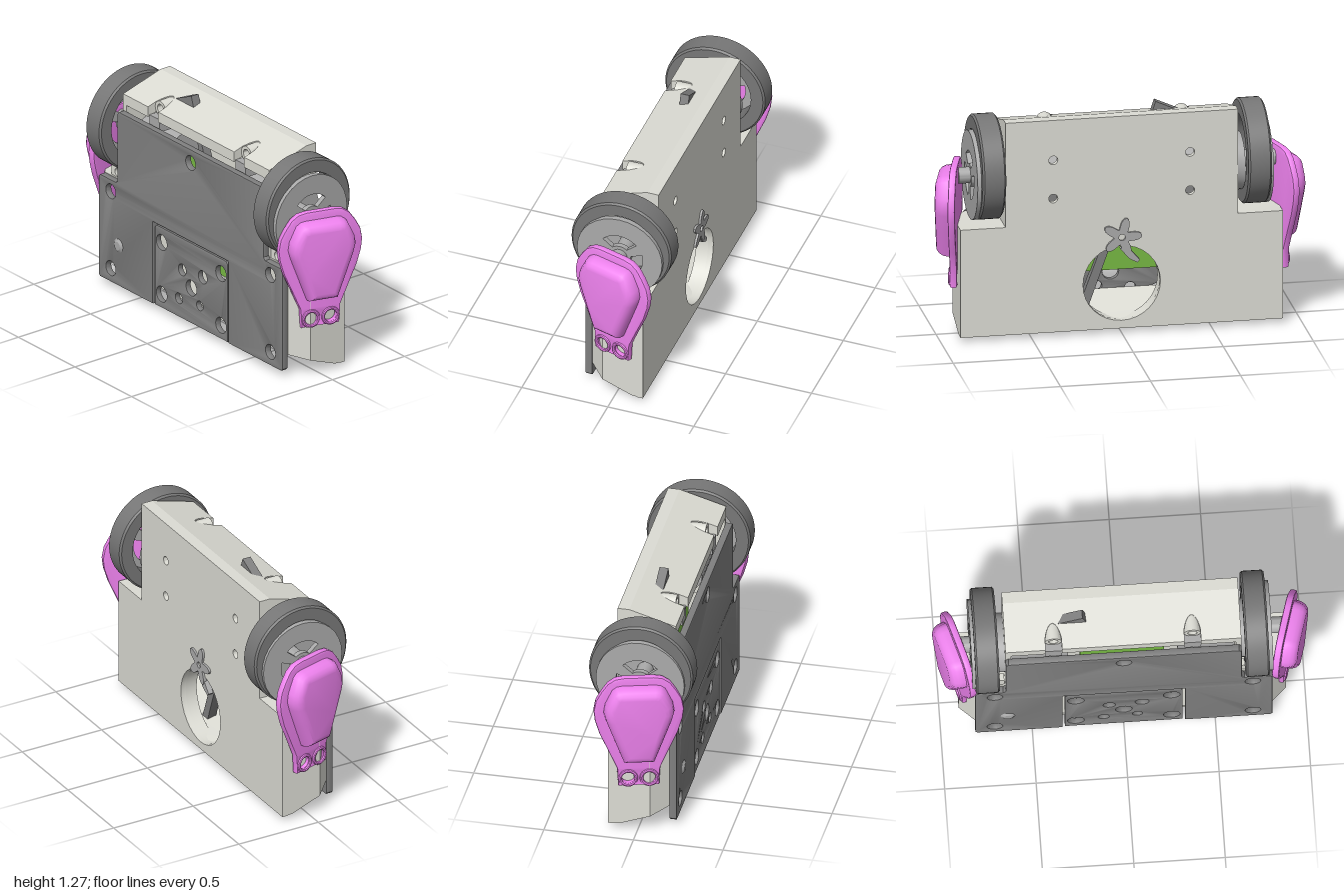
import * as THREE from 'three';
import { toCreasedNormals } from 'three/addons/utils/BufferGeometryUtils.js';

const mat = (color) => new THREE.MeshStandardMaterial({ color, side: THREE.DoubleSide });
const light = mat(0xdcdcd4), dark = mat(0x808080), rubber = mat(0x777777);
const grey = mat(0xaaaaaa), pink = mat(0xee82ee), green = mat(0x77b843);

const V = (pts) => pts.map(([x, y]) => new THREE.Vector2(x, y));
const mirrored = (half) => [...half, ...half.slice().reverse().map(([x, y]) => [-x, y])];

// Outline with round holes given as [x, y, radius]
function outline(pts, holes = []) {
  const s = new THREE.Shape(V(pts));
  for (const [x, y, r] of holes) {
    const p = new THREE.Path();
    p.absarc(x, y, r, 0, Math.PI * 2, true);
    s.holes.push(p);
  }
  return s;
}

function extrude(shape, depth, bevel = 0) {
  return new THREE.ExtrudeGeometry(shape, {
    depth: depth - 2 * bevel, curveSegments: 16, bevelEnabled: bevel > 0,
    bevelThickness: bevel, bevelSize: bevel, bevelOffset: -bevel, bevelSegments: 2,
  }).translate(0, 0, bevel);
}

// Prism along x from x0 to x1 with a [z, y] section
function prism(section, x0, x1) {
  return extrude(outline(section.map(([z, y]) => [-z, y])), x1 - x0)
    .rotateY(Math.PI / 2).translate(x0, 0, 0);
}

function moveVertices(geo, rule) {
  const p = geo.attributes.position, v = new THREE.Vector3();
  for (let i = 0; i < p.count; i++) {
    v.fromBufferAttribute(p, i);
    rule(v);
    p.setXYZ(i, v.x, v.y, v.z);
  }
  geo.computeVertexNormals();
  return geo;
}

export function createModel() {
  const model = new THREE.Group();
  const add = (name, geo, material, parent = model) => {
    const m = new THREE.Mesh(toCreasedNormals(geo, 0.6), material);
    m.name = name;
    parent.add(m);
    return m;
  };
  const box = (name, x0, x1, y0, y1, z0, z1, material, parent) =>
    add(name, new THREE.BoxGeometry(x1 - x0, y1 - y0, z1 - z0)
      .translate((x0 + x1) / 2, (y0 + y1) / 2, (z0 + z1) / 2), material, parent);
  const rod = (name, r, x0, x1, y, z, material, parent) =>
    add(name, new THREE.CylinderGeometry(r, r, x1 - x0, 32).rotateZ(Math.PI / 2)
      .translate((x0 + x1) / 2, y, z), material, parent);

  // Housing: back wall with a round opening and four screw holes
  const backHoles = [[0, 0.29, 0.215]];
  for (const x of [-0.38, 0.38]) for (const y of [0.8, 1.02]) backHoles.push([x, y, 0.025]);
  const backPts = mirrored([[0.895, 0.03], [0.895, 0.65], [0.645, 0.65], [0.645, 1.235], [0.63, 1.25]]);
  add('backWall', extrude(outline(backPts, backHoles), 0.03).translate(0, 0, -0.165), light);
  add('openingRim', new THREE.CylinderGeometry(0.217, 0.217, 0.1, 40, 1, true)
    .rotateX(Math.PI / 2).translate(0, 0.29, -0.115), light);

  // Sloped floor, narrowing toward the front
  const chamfer = (v) => { if (v.z > 0.07) v.x -= Math.sign(v.x) * (v.z - 0.07) * 0.95; };
  const floor = [[-0.165, 0.03], [-0.1, 0.035], [0.07, 0.1], [0.16, 0.13], [0.16, 0.155], [0.07, 0.125], [-0.165, 0.06]];
  add('floor', moveVertices(prism(floor, -0.88, 0.88), chamfer), light);

  for (const s of [-1, 1]) {
    const side = new THREE.Group();
    side.name = s > 0 ? 'leftSide' : 'rightSide';
    model.add(side);
    const wall = (name, section, a, b, rule) => {
      const g = prism(section, Math.min(s * a, s * b), Math.max(s * a, s * b));
      add(name, rule ? moveVertices(g, rule) : g, light, side);
    };
    wall('sideWall', [[-0.165, 0.03], [-0.1, 0.035], [0.07, 0.1], [0.07, 0.65], [-0.165, 0.65]], 0.865, 0.895);
    wall('sideChamfer', [[0.07, 0.1], [0.16, 0.13], [0.16, 0.65], [0.07, 0.65]], 0.865, 0.895, chamfer);
    wall('shelf', [[-0.165, 0.625], [0.07, 0.625], [0.16, 0.625], [0.16, 0.65], [0.07, 0.65], [-0.165, 0.65]],
      0.62, 0.89, (v) => { if (Math.abs(v.x) > 0.8) chamfer(v); });
    wall('upperWall', [[-0.165, 0.62], [0.16, 0.62], [0.16, 1.13], [-0.1, 1.21], [-0.165, 1.21]], 0.615, 0.645);

    // Shelf boss and lid screw boss
    const boss = extrude(outline(mirrored([[0.055, 0.64], [0.055, 0.71]]), [[0, 0.68, 0.025]]), 0.04);
    add('shelfBoss', boss.translate(s * 0.705, 0, 0.11), light, side);
    const ring = new THREE.Shape().absarc(0, 0, 0.045, 0, Math.PI * 2);
    ring.holes.push(new THREE.Path().absarc(0, 0, 0.026, 0, Math.PI * 2, true));
    add('lidBoss', extrude(ring, 0.09).translate(s * 0.38, 1.165, 0.02), light, side);
    box('lidBossFoot', s * 0.38 - 0.045, s * 0.38 + 0.045, 1.05, 1.125, 0.02, 0.15, grey, side);
    rod('motor', 0.1, s > 0 ? 0.3 : -0.61, s > 0 ? 0.61 : -0.3, 0.92, 0, grey, side);
  }

  // Lid: flat strip at the back, then a slope with two arched notches at the front edge
  box('lidBack', -0.645, 0.645, 1.19, 1.25, -0.165, -0.1, light);
  const lid = new THREE.Shape();
  lid.moveTo(-0.645, -0.1).lineTo(-0.645, 0.16);
  for (const x of [-0.38, 0.38]) {
    lid.lineTo(x - 0.045, 0.16).lineTo(x - 0.045, 0.1);
    lid.quadraticCurveTo(x - 0.03, 0.025, x, 0.02).quadraticCurveTo(x + 0.03, 0.025, x + 0.045, 0.1);
    lid.lineTo(x + 0.045, 0.16);
  }
  lid.lineTo(0.645, 0.16).lineTo(0.645, -0.1);
  const lidGeo = extrude(lid, 0.06).rotateX(Math.PI / 2).translate(0, 1.25, 0);
  add('lidSlope', moveVertices(lidGeo, (v) => { v.y -= (v.z + 0.1) * 0.29; }), light);

  // Front plate with a bay for the smaller cover
  const plateHoles = [[0, 1, 0.042]];
  for (const x of [-0.705, 0.705]) for (const y of [0.12, 0.58]) plateHoles.push([x, y, 0.042]);
  const plate = mirrored([[0.335, 0.53], [0.335, 0.04], [0.8, 0.04], [0.812, 0.052], [0.812, 0.635],
    [0.797, 0.65], [0.66, 0.65], [0.645, 0.665], [0.645, 1.065], [0.63, 1.08]]);
  add('frontPlate', extrude(outline(plate, plateHoles), 0.04, 0.005).translate(0, 0, 0.16), dark);
  add('plateScrew', new THREE.CylinderGeometry(0.025, 0.043, 0.012, 12)
    .rotateX(Math.PI / 2).translate(-0.635, 0.28, 0.204), grey);
  const coverHoles = [[0, 0.25, 0.045], [-0.08, 0.33, 0.033], [0.1, 0.35, 0.037], [0.075, 0.17, 0.027], [-0.11, 0.15, 0.03]];
  for (const x of [-0.262, 0.262]) for (const y of [0.12, 0.43]) coverHoles.push([x, y, 0.045]);
  const cover = mirrored([[0.322, 0.04], [0.322, 0.505], [0.307, 0.52]]);
  add('frontCover', extrude(outline(cover, coverHoles), 0.035, 0.005).translate(0, 0, 0.16), dark);

  // Circuit board inside
  box('circuitBoard', -0.23, 0.23, 0.31, 0.96, 0.01, 0.04, green);

  // Diagonal strip with a barb at each end
  const strip = [[-0.215, 1.275], [-0.37, 1.205], [-0.36, 1.18], [-0.22, 1.18], [0.19, 0.03],
    [0.22, 0.003], [0.37, 0.073], [0.36, 0.1], [0.22, 0.1], [-0.19, 1.2]];
  add('diagonalStrip', extrude(outline(strip), 0.05).translate(0, 0, -0.025), dark);

  // Star horn and small finger on the back
  const star = [];
  for (let i = 0; i < 60; i++) {
    const a = (i / 60) * Math.PI * 2, r = 0.078 + 0.034 * Math.cos(5 * a);
    star.push([-Math.sin(a + 0.25) * r, 0.555 + Math.cos(a + 0.25) * r]);
  }
  add('starHorn', extrude(outline(star, [[0, 0.555, 0.018]]), 0.02).translate(0, 0, -0.177), grey);
  add('hornFinger', extrude(outline([[0.01, 0.49], [-0.03, 0.5], [-0.1, 0.42], [-0.085, 0.405], [-0.04, 0.43]]), 0.03)
    .translate(0, 0, -0.172), grey);

  // Wheels: open tyre, slotted disc, hub and axle
  for (const [s, x0] of [[1, 0.663], [-1, -0.813]]) {
    const wheel = new THREE.Group();
    wheel.name = s > 0 ? 'leftWheel' : 'rightWheel';
    model.add(wheel);
    const section = [[0.21, -0.065], [0.28, -0.065], [0.29, -0.055], [0.29, 0.055], [0.28, 0.065], [0.21, 0.065], [0.21, -0.065]];
    add('tyre', new THREE.LatheGeometry(V(section), 64).rotateZ(Math.PI / 2)
      .translate(x0 + 0.065, 0.955, 0), rubber, wheel);
    const disc = new THREE.Shape().absarc(0, 0, 0.247, 0, Math.PI * 2);
    for (let i = 0; i < 3; i++) {
      const a = Math.PI / 2 + (i * Math.PI * 2) / 3;
      const slot = new THREE.Path();
      slot.absarc(0, 0, 0.135, a - 0.8, a + 0.8, false);
      slot.absarc(0, 0, 0.065, a + 0.7, a - 0.7, true);
      disc.holes.push(slot);
    }
    const discX = s > 0 ? 0.785 : -0.83;
    add('wheelDisc', extrude(disc, 0.03).rotateY(Math.PI / 2).translate(discX, 0.91, 0), grey, wheel);
    rod('wheelHub', 0.16, s > 0 ? 0.645 : -0.69, s > 0 ? 0.675 : -0.645, 0.9, 0, grey, wheel);
    rod('axle', 0.045, s > 0 ? 0.6 : -0.88, s > 0 ? 0.88 : -0.6, 0.91, 0, grey, wheel);
  }

  // Paddles: tilted plates with a raised pad and two holes in the foot
  const plateHalf = [[0.112, 0.3], [0.118, 0.41], [0.165, 0.52], [0.215, 0.635], [0.24, 0.72], [0.247, 0.78],
    [0.235, 0.845], [0.205, 0.9], [0.17, 0.95], [0.13, 0.978], [0.08, 0.986]];
  const padHalf = [[0.085, 0.47], [0.14, 0.62], [0.18, 0.73], [0.193, 0.78], [0.185, 0.83], [0.145, 0.915], [0.12, 0.933], [0.09, 0.938]];
  for (const s of [1, -1]) {
    const paddle = new THREE.Group();
    paddle.name = s > 0 ? 'leftPaddle' : 'rightPaddle';
    const place = (geo) => geo.rotateY(Math.PI / 2 - 0.28).translate(0.873, 0, 0);
    add('paddlePlate', place(extrude(outline(mirrored(plateHalf), [[-0.058, 0.35, 0.035], [0.058, 0.35, 0.035]]), 0.04, 0.01)), pink, paddle);
    const pad = new THREE.ExtrudeGeometry(outline(mirrored(padHalf)), {
      depth: 0.02, bevelThickness: 0.065, bevelSize: 0.05, bevelOffset: -0.05, bevelSegments: 4,
    });
    add('paddlePad', place(moveVertices(pad, (v) => { v.z = Math.max(v.z, 0) + 0.035; })), pink, paddle);
    for (const x of [-0.058, 0.058])
      add('footRing', place(new THREE.TorusGeometry(0.044, 0.01, 8, 24).translate(x, 0.35, 0.04)), pink, paddle);
    paddle.scale.x = s;
    model.add(paddle);
  }
  return model;
}
